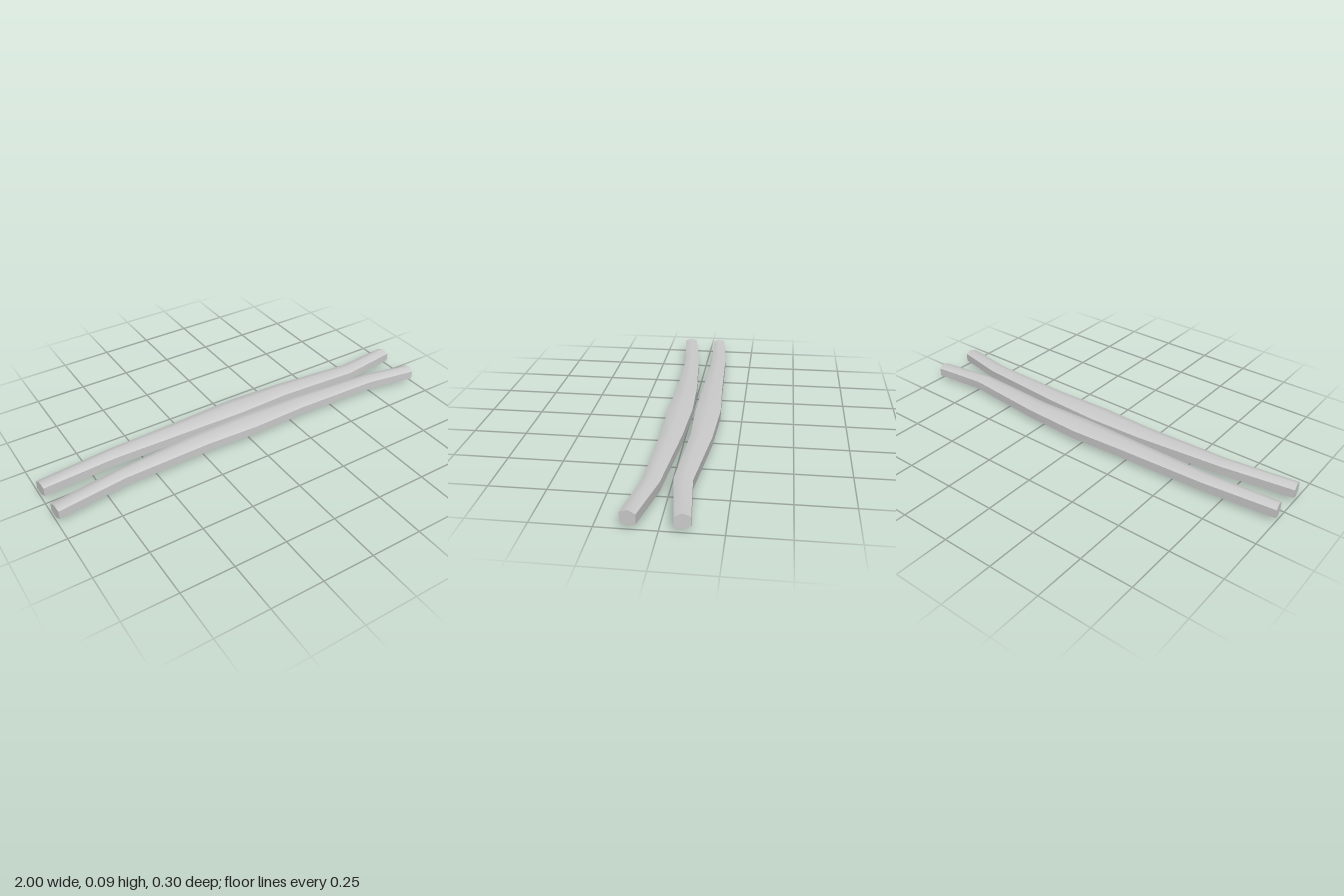
import * as THREE from 'three';
import { toCreasedNormals } from 'three/addons/utils/BufferGeometryUtils.js';

const MID_Y = 0.047;      // height of the stick axis
const SIDE_HALF = 0.021;  // half height of the upright side faces

// Station: [x of back edge, z of back edge, x of front edge, z of front edge, ridge half height]
const BACK_STICK = [
  [-1, -0.086, -0.99, -0.022, 0.035],
  [-0.655, -0.118, -0.645, -0.042, 0.037],
  [-0.24, -0.134, -0.24, -0.034, 0.041],
  [0.03, -0.149, 0.03, -0.028, 0.045],
  [0.32, -0.137, 0.31, -0.037, 0.041],
  [0.72, -0.097, 0.71, -0.017, 0.037],
  [0.99, -0.122, 1, -0.057, 0.035],
];
const FRONT_STICK = [
  [-1, 0.082, -0.99, 0.148, 0.035],
  [-0.665, 0.034, -0.655, 0.107, 0.037],
  [-0.24, -0.004, -0.235, 0.097, 0.041],
  [0.03, -0.013, 0.03, 0.106, 0.045],
  [0.32, -0.001, 0.315, 0.097, 0.041],
  [0.75, 0.033, 0.735, 0.107, 0.037],
  [1, 0.084, 0.99, 0.149, 0.035],
];

// Six-sided bar lofted through the stations, with ridges above and below
function stickGeometry(stations) {
  const pos = [], index = [];
  for (const [xb, zb, xf, zf, h] of stations) {
    const xm = (xb + xf) / 2, zm = (zb + zf) / 2;
    pos.push(
      xm, MID_Y + h, zm,
      xf, MID_Y + SIDE_HALF, zf,
      xf, MID_Y - SIDE_HALF, zf,
      xm, MID_Y - h, zm,
      xb, MID_Y - SIDE_HALF, zb,
      xb, MID_Y + SIDE_HALF, zb,
    );
  }
  for (let i = 0; i < stations.length - 1; i++) {
    for (let j = 0; j < 6; j++) {
      const a = i * 6 + j, b = i * 6 + (j + 1) % 6;
      index.push(a, b, a + 6, b, b + 6, a + 6);
    }
  }
  // End caps
  const last = (stations.length - 1) * 6;
  for (let j = 1; j < 5; j++) {
    index.push(0, j + 1, j);
    index.push(last, last + j, last + j + 1);
  }
  const geometry = new THREE.BufferGeometry();
  geometry.setAttribute('position', new THREE.Float32BufferAttribute(pos, 3));
  geometry.setIndex(index);
  return toCreasedNormals(geometry, THREE.MathUtils.degToRad(55));
}

export function createModel() {
  const group = new THREE.Group();
  group.name = 'pairOfSticks';
  const material = new THREE.MeshStandardMaterial({ color: 0xcccccc });
  for (const [name, stations] of [['backStick', BACK_STICK], ['frontStick', FRONT_STICK]]) {
    const stick = new THREE.Mesh(stickGeometry(stations), material);
    stick.name = name;
    group.add(stick);
  }
  return group;
}
